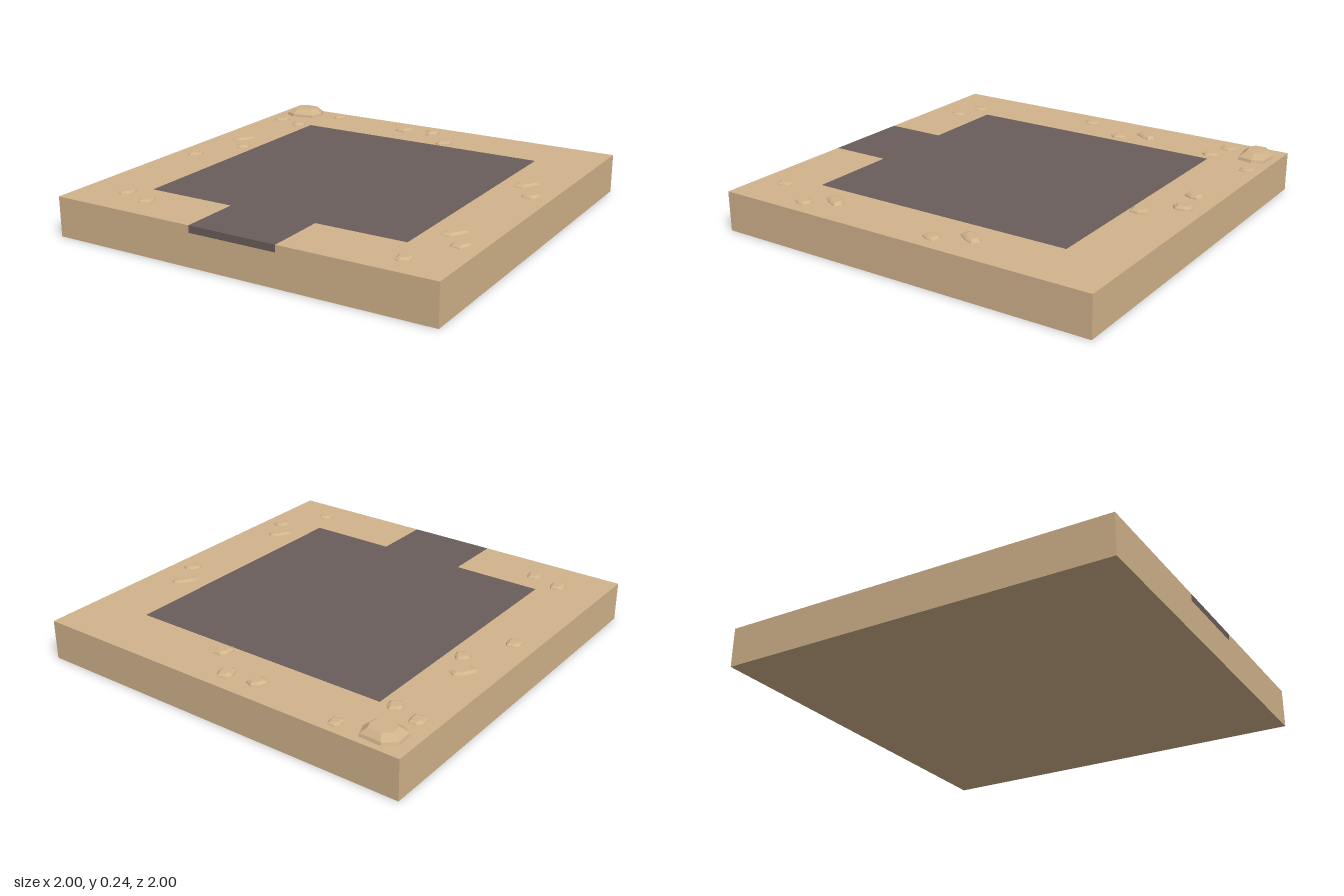
import * as THREE from 'three';

const sand = new THREE.MeshStandardMaterial({ color: 0xd2b48c, flatShading: true });
const floor = new THREE.MeshStandardMaterial({ color: 0x695d5a, flatShading: true });

const TOP = 0.2, FLOOR_BOTTOM = 0.165, HALF = 0.69, PATH = 0.23;

// Flat slab cut from a plan outline of [x, z] points
function slab(name, outline, y, height, material) {
  const shape = new THREE.Shape(outline.map(([x, z]) => new THREE.Vector2(x, -z)));
  const geo = new THREE.ExtrudeGeometry(shape, { depth: height, bevelEnabled: false });
  geo.rotateX(-Math.PI / 2);
  geo.translate(0, y, 0);
  const mesh = new THREE.Mesh(geo, material);
  mesh.name = name;
  return mesh;
}

// Unit footprint and the rings [height, scale, x shift, z shift] of a faceted rock
const FOOTPRINT = [[-0.5, -0.23], [-0.2, -0.5], [0.37, -0.47], [0.5, -0.1], [0.42, 0.37], [-0.2, 0.5], [-0.47, 0.33]];
const RINGS = [[0, 1, 0, 0], [0.35, 0.95, 0, 0], [1, 0.6, 0, -0.04]];

function rockGeometry() {
  const n = FOOTPRINT.length, pos = [], index = [];
  for (const [y, s, dx, dz] of RINGS)
    for (const [x, z] of FOOTPRINT) pos.push(x * s + dx, y, z * s + dz);
  for (let r = 0; r < RINGS.length - 1; r++)
    for (let i = 0; i < n; i++) {
      const a = r * n + i, b = r * n + (i + 1) % n;
      index.push(b, a, a + n, b, a + n, b + n);
    }
  const t = (RINGS.length - 1) * n;
  for (let i = 1; i < n - 1; i++) index.push(t, t + i + 1, t + i);
  const geo = new THREE.BufferGeometry();
  geo.setAttribute('position', new THREE.Float32BufferAttribute(pos, 3));
  geo.setIndex(index);
  const flat = geo.toNonIndexed();
  flat.computeVertexNormals();
  return flat;
}

export function createModel() {
  const model = new THREE.Group();
  model.name = 'sandPlot';

  // Sand block: solid lower layer, and an upper layer open for the floor
  const base = new THREE.Mesh(new THREE.BoxGeometry(2, FLOOR_BOTTOM, 2), sand);
  base.position.y = FLOOR_BOTTOM / 2;
  base.name = 'sandBase';
  model.add(base);

  const inset = [[PATH, 1], [PATH, HALF], [HALF, HALF], [HALF, -HALF],
    [-HALF, -HALF], [-HALF, HALF], [-PATH, HALF], [-PATH, 1]];
  const border = [...inset, [-1, 1], [-1, -1], [1, -1], [1, 1]];
  model.add(slab('sandBorder', border, FLOOR_BOTTOM, TOP - FLOOR_BOTTOM, sand));

  // Dark floor with its entrance path, flush with the sand
  model.add(slab('floorAndPath', inset, FLOOR_BOTTOM, TOP - FLOOR_BOTTOM, floor));

  // Rocks: x, z, width, depth, height, turn
  const rocks = new THREE.Group();
  rocks.name = 'rocks';
  const geo = rockGeometry();
  const addRock = (name, x, z, w, d, h, turn) => {
    const rock = new THREE.Mesh(geo, sand);
    rock.name = name;
    rock.position.set(x, TOP, z);
    rock.scale.set(w, h, d);
    rock.rotation.y = turn;
    rocks.add(rock);
  };
  addRock('boulder', -0.848, -0.885, 0.2, 0.165, 0.042, 0);

  const pebbles = [[-0.9, -0.715, 0.1], [-0.76, -0.675, 0.5], [-0.76, -0.135, 0.5], [-0.89, 0.11, 0.2],
    [-0.765, 0.785, 0.2], [-0.608, 0.833, 0.3], [0.765, 0.853, 0.2], [0.898, -0.14, -0.4], [0.898, 0.608, -0.4]];
  for (const [x, z, turn] of pebbles) addRock('pebble', x, z, 0.073, 0.085, 0.012, turn);
  addRock('pebble', -0.637, -0.927, 0.06, 0.075, 0.012, 0.1);

  for (const [x, z, turn] of [[-0.17, -0.868, -0.4], [-0.005, -0.888, 0.3], [0.14, -0.74, 0]])
    addRock('backPebble', x, z, 0.078, 0.095, 0.017, turn);

  for (const [x, z] of [[-0.845, -0.255], [0.812, -0.285], [0.812, 0.49]])
    addRock('longRock', x, z, 0.07, 0.135, 0.013, -0.55);

  model.add(rocks);
  return model;
}
